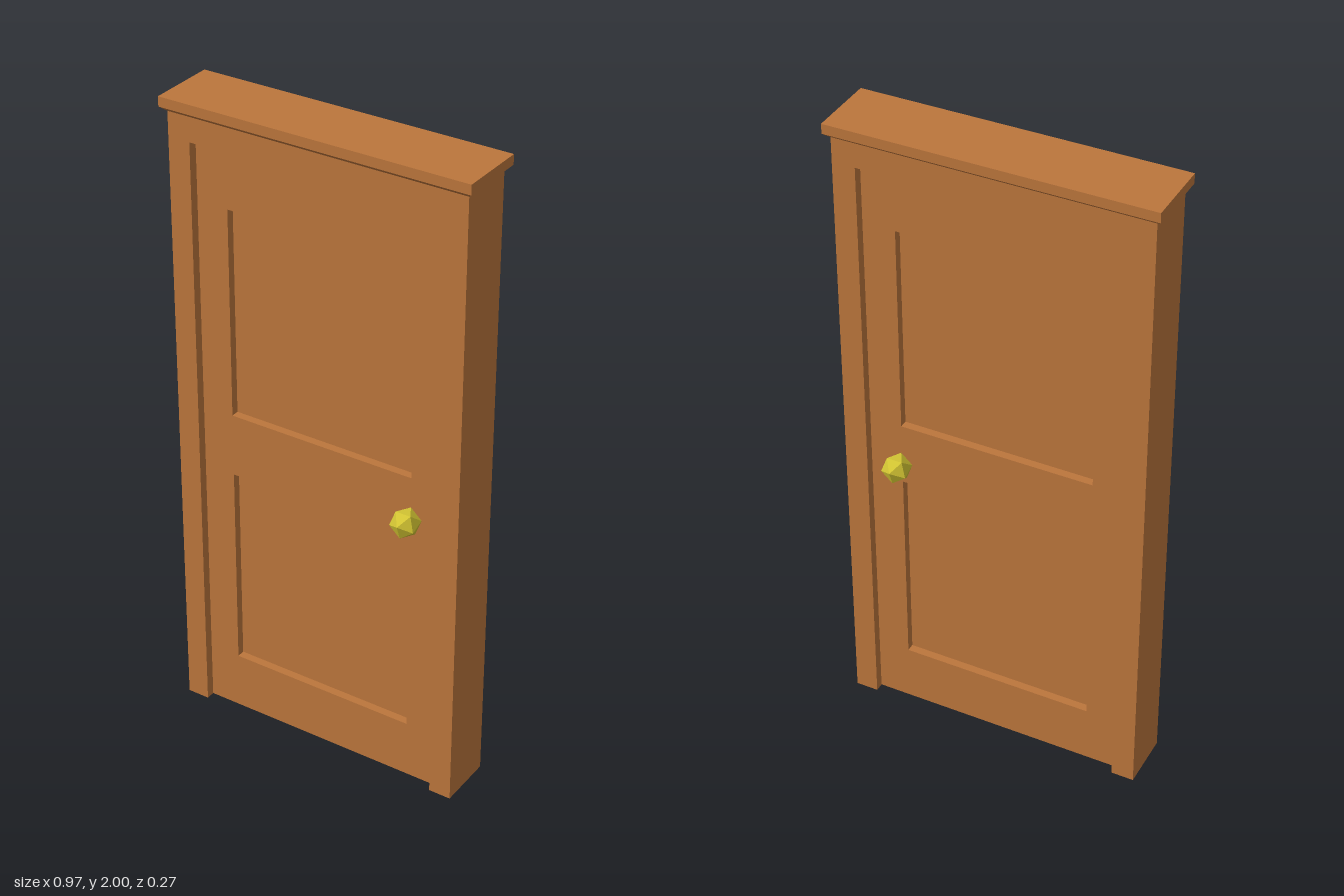
import * as THREE from 'three';

const wood = new THREE.MeshStandardMaterial({ color: 0xbc763c, flatShading: true, side: THREE.DoubleSide });
const brass = new THREE.MeshStandardMaterial({ color: 0xd2c432, flatShading: true });

function outline(points, Type = THREE.Shape) {
  return new Type(points.map(([x, y]) => new THREE.Vector2(x, y)));
}

function rectangle(halfWidth, bottom, top, Type) {
  return outline([[-halfWidth, bottom], [halfWidth, bottom], [halfWidth, top], [-halfWidth, top]], Type);
}

// Extrude a shape evenly to both sides of z = 0
function slab(shape, depth) {
  return new THREE.ExtrudeGeometry(shape, { depth, bevelEnabled: false }).translate(0, 0, -depth / 2);
}

// Leave out the faces that lie on the ground, so the part is hollow from below
function openBottom(geometry) {
  const source = geometry.toNonIndexed().attributes.position;
  const kept = [];
  for (let i = 0; i < source.count; i += 3) {
    const corners = [i, i + 1, i + 2];
    if (corners.every((c) => Math.abs(source.getY(c)) < 1e-5)) continue;
    for (const c of corners) kept.push(source.getX(c), source.getY(c), source.getZ(c));
  }
  const result = new THREE.BufferGeometry();
  result.setAttribute('position', new THREE.Float32BufferAttribute(kept, 3));
  result.computeVertexNormals();
  return result;
}

export function createModel() {
  const model = new THREE.Group();
  model.name = 'door';
  const add = (name, geometry, material = wood) => {
    const mesh = new THREE.Mesh(geometry, material);
    mesh.name = name;
    model.add(mesh);
    return mesh;
  };

  // Frame: two jambs and a head in one piece
  const frame = outline([
    [-0.47, 0], [-0.4, 0], [-0.4, 1.88], [0.4, 1.88],
    [0.4, 0], [0.47, 0], [0.47, 1.955], [-0.47, 1.955],
  ]);
  add('frame', openBottom(slab(frame, 0.176)));

  // Leaf with two recessed panels on both sides
  const panels = [['lowerPanel', 0.185, 0.84], ['upperPanel', 1.04, 1.695]];
  const leaf = rectangle(0.4, 0, 1.88);
  for (const [name, bottom, top] of panels) {
    leaf.holes.push(rectangle(0.3, bottom, top, THREE.Path));
    add(name, slab(rectangle(0.3, bottom, top), 0.07));
  }
  add('leaf', openBottom(slab(leaf, 0.12)));

  // Cornice: a flat cap whose underside tapers in to the frame
  const cornice = new THREE.BoxGeometry(0.972, 2, 0.212, 1, 2, 1);
  const p = cornice.attributes.position;
  for (let i = 0; i < p.count; i++) {
    const level = Math.round(p.getY(i)) + 1;
    p.setY(i, [1.955, 1.97, 2][level]);
    if (level === 0) {
      p.setX(i, Math.sign(p.getX(i)) * 0.47);
      p.setZ(i, Math.sign(p.getZ(i)) * 0.088);
    }
  }
  cornice.computeVertexNormals();
  add('cornice', cornice);

  // Faceted knobs, front and back
  for (const [name, side] of [['frontKnob', 1], ['backKnob', -1]]) {
    const knob = add(name, new THREE.IcosahedronGeometry(0.0457, 0), brass);
    knob.position.set(0.302, 0.91, side * 0.09);
    knob.rotation.x = side * 0.35;
  }

  return model;
}
